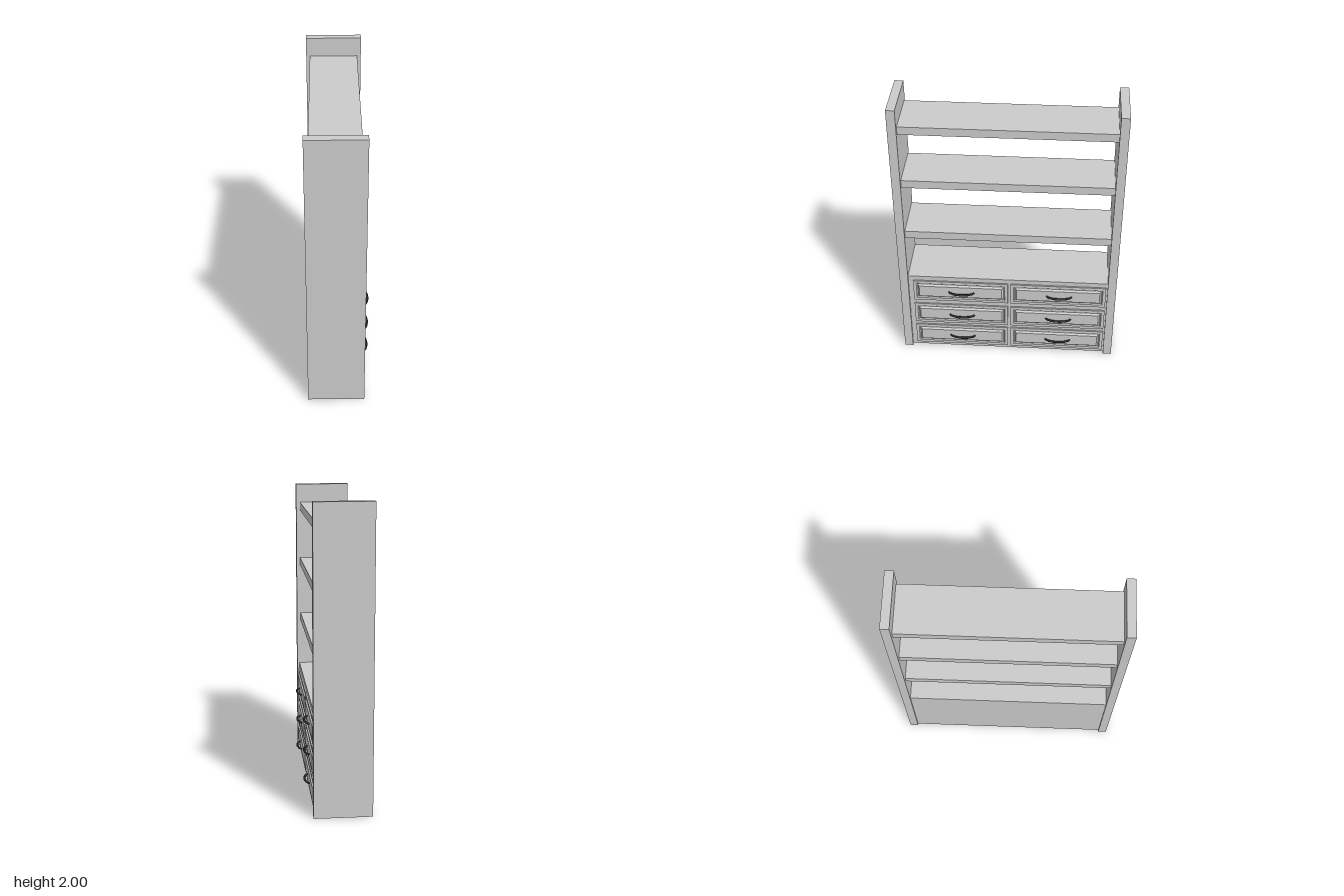
import * as THREE from 'three';

const grey = new THREE.MeshStandardMaterial({ color: 0xcccccc });
const flatGrey = new THREE.MeshStandardMaterial({ color: 0xcccccc, flatShading: true });
const dark = new THREE.MeshStandardMaterial({ color: 0x333333 });

// Box given by its limits on each axis
function box(name, [x0, x1], [y0, y1], [z0, z1]) {
  const mesh = new THREE.Mesh(new THREE.BoxGeometry(x1 - x0, y1 - y0, z1 - z0), grey);
  mesh.position.set((x0 + x1) / 2, (y0 + y1) / 2, (z0 + z1) / 2);
  mesh.name = name;
  return mesh;
}

// Moulded drawer front: nested rectangles of [inset, x], facing +x
function drawerFrontGeometry(width, height, rings) {
  const positions = [], index = [];
  rings.forEach(([inset, x], i) => {
    const w = width / 2 - inset, h = height / 2 - inset;
    positions.push(x, -h, w, x, -h, -w, x, h, -w, x, h, w);
    if (i === 0) return;
    for (let k = 0; k < 4; k++) {
      const n = (k + 1) % 4, a = (i - 1) * 4, b = i * 4;
      index.push(a + k, a + n, b + n, a + k, b + n, b + k);
    }
  });
  const last = (rings.length - 1) * 4;
  index.push(last, last + 1, last + 2, last, last + 2, last + 3);
  const geometry = new THREE.BufferGeometry();
  geometry.setAttribute('position', new THREE.Float32BufferAttribute(positions, 3));
  geometry.setIndex(index);
  const flat = geometry.toNonIndexed();
  flat.computeVertexNormals();
  return flat;
}

// Bowed pull, thicker in the middle than at its ends
function handleGeometry() {
  const half = 0.088, rise = 0.034, steps = 24, sides = 10;
  const path = new THREE.CatmullRomCurve3(
    Array.from({ length: 9 }, (_, i) => {
      const a = Math.PI * i / 8;
      return new THREE.Vector3(rise * Math.sin(a), 0, half * Math.cos(a));
    }));
  const geometry = new THREE.TubeGeometry(path, steps, 0.008, sides);
  const p = geometry.attributes.position, v = new THREE.Vector3();
  for (let i = 0; i <= steps; i++) {
    const centre = path.getPointAt(i / steps);
    const scale = 0.75 + 0.25 * Math.sin(Math.PI * i / steps);
    for (let j = 0; j <= sides; j++) {
      const k = i * (sides + 1) + j;
      v.fromBufferAttribute(p, k).sub(centre).multiplyScalar(scale).add(centre);
      p.setXYZ(k, v.x, v.y, v.z);
    }
  }
  geometry.computeVertexNormals();
  return geometry;
}

export function createModel() {
  const model = new THREE.Group();
  model.name = 'shelfUnit';

  // Upright side panels
  for (const s of [-1, 1]) {
    const z = [0.697 * s, 0.755 * s].sort((a, b) => a - b);
    model.add(box('sidePanel', [-0.21, 0.17], [0, 2], z));
  }

  // Open shelves
  for (const y of [0.985, 1.402, 1.811]) {
    model.add(box('shelf', [-0.185, 0.144], [y, y + 0.057], [-0.697, 0.697]));
  }

  // Drawer cabinet
  model.add(box('cabinet', [-0.2, 0.154], [0.008, 0.655], [-0.697, 0.697]));

  // Six drawers, three rows of two
  const front = drawerFrontGeometry(0.665, 0.174, [
    [0, 0.15], [0, 0.164], [0.021, 0.164], [0.028, 0.157],
    [0.031, 0.157], [0.042, 0.17],
  ]);
  const pull = handleGeometry();
  for (const y of [0.122, 0.323, 0.533]) {
    for (const z of [0.331, -0.354]) {
      const drawer = new THREE.Group();
      drawer.name = 'drawer';
      drawer.position.set(0, y, z);
      const panel = new THREE.Mesh(front, flatGrey);
      panel.name = 'drawerFront';
      const handle = new THREE.Mesh(pull, dark);
      handle.name = 'drawerHandle';
      handle.position.set(0.164, 0, -0.007);
      drawer.add(panel, handle);
      model.add(drawer);
    }
  }
  return model;
}
